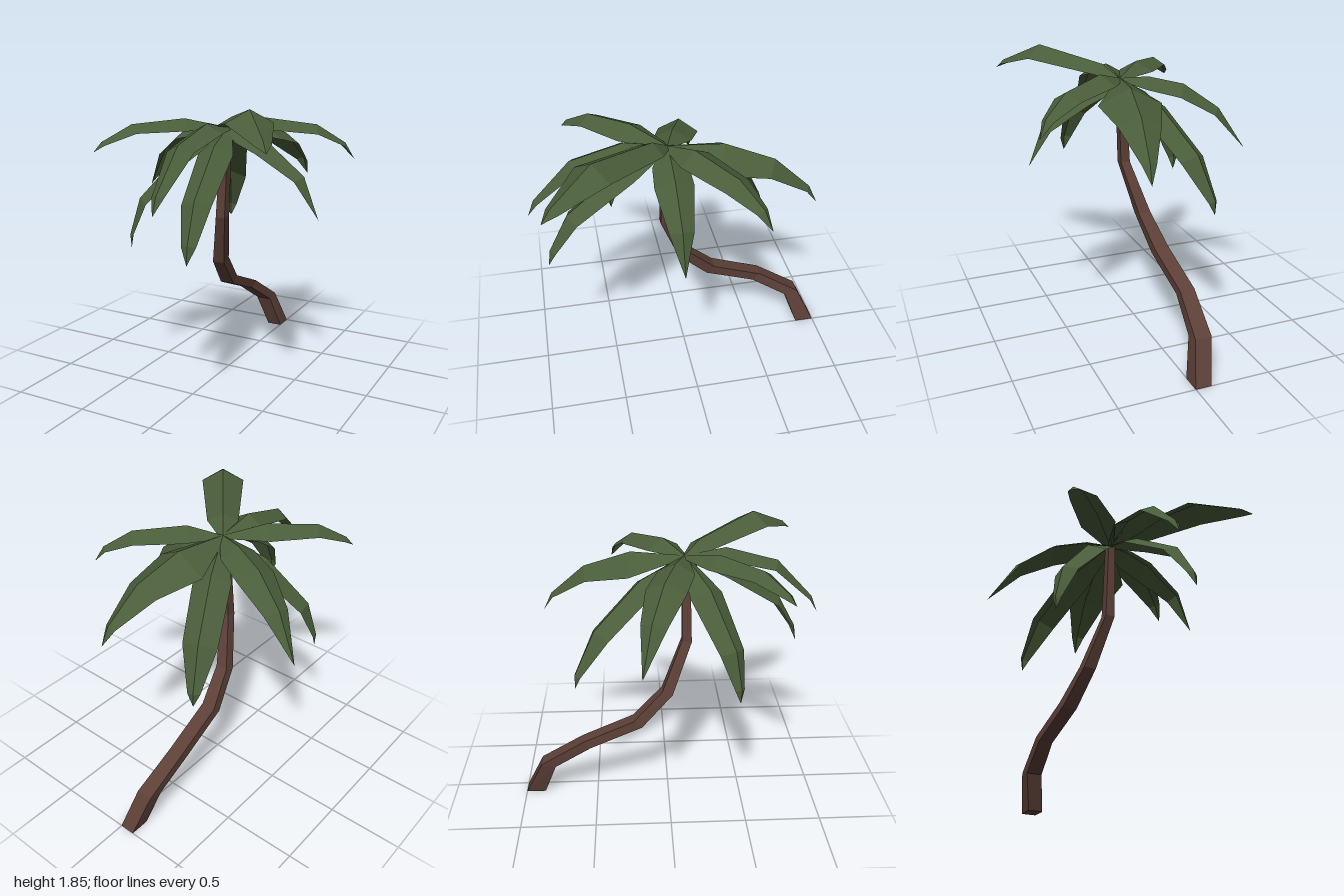
import * as THREE from 'three';

// Flat-shaded geometry from a list of triangle corners
function facets(points) {
  const geometry = new THREE.BufferGeometry().setFromPoints(points);
  geometry.computeVertexNormals();
  return geometry;
}

const HUB = new THREE.Vector3(0.05, 1.68, 0.11);

// A folded frond: a raised midrib with a drooping blade on each side.
// rib: [fraction of reach, height, half width] from near the hub to the tip
function frondGeometry(tipX, tipZ, rib) {
  const reach = new THREE.Vector3(tipX - HUB.x, 0, tipZ - HUB.z);
  const length = reach.length();
  const out = reach.clone().normalize();
  const side = new THREE.Vector3(0, 1, 0).cross(out);
  const stations = [[0, HUB.y, 0.025], ...rib].map(([f, y, w]) => ({ r: f * length, y, w }));
  const at = (r, y) => new THREE.Vector3(HUB.x, y, HUB.z).addScaledVector(out, r);

  const rows = stations.map((s, i) => {
    const p = stations[Math.max(i - 1, 0)];
    const q = stations[Math.min(i + 1, stations.length - 1)];
    const tangent = new THREE.Vector2(q.r - p.r, q.y - p.y).normalize();
    const drop = 0.55 * s.w;
    const low = at(s.r + tangent.y * drop, s.y - tangent.x * drop);
    return {
      w: s.w,
      mid: at(s.r, s.y),
      left: low.clone().addScaledVector(side, s.w),
      right: low.clone().addScaledVector(side, -s.w),
    };
  });

  const tris = [];
  for (let i = 0; i < rows.length - 1; i++) {
    const a = rows[i], b = rows[i + 1];
    tris.push(a.mid, b.mid, a.left, a.mid, a.right, b.mid);
    if (b.w > 0) tris.push(b.mid, b.left, a.left, b.mid, a.right, b.right);
  }
  return facets(tris);
}

// Square trunk lofted through rows of [x, half width, front z, front y, back z, back y]
function trunkGeometry(rows) {
  const rings = rows.map(([x, h, zf, yf, zb, yb]) => [
    new THREE.Vector3(x - h, yf, zf), new THREE.Vector3(x + h, yf, zf),
    new THREE.Vector3(x + h, yb, zb), new THREE.Vector3(x - h, yb, zb),
  ]);
  const tris = [];
  for (let i = 0; i < rings.length - 1; i++) {
    const a = rings[i], b = rings[i + 1];
    for (let j = 0; j < 4; j++) {
      const k = (j + 1) % 4;
      tris.push(a[j], a[k], b[k], a[j], b[k], b[j]);
    }
  }
  const [s, e] = [rings[0], rings[rings.length - 1]];
  tris.push(s[0], s[2], s[1], s[0], s[3], s[2]);
  tris.push(e[0], e[1], e[2], e[0], e[2], e[3]);
  return facets(tris);
}

export function createModel() {
  const bark = new THREE.MeshStandardMaterial({ color: 0x5d4037 });
  bark.name = 'bark brown';
  const leaf = new THREE.MeshStandardMaterial({ color: 0x4a5d3a, side: THREE.DoubleSide });
  leaf.name = 'leaf green';

  const model = new THREE.Group();
  model.name = 'palmTree';

  // Curving trunk, from the ground to the crown
  const trunk = new THREE.Mesh(trunkGeometry([
    [-0.05, 0.052, -0.87, 0, -1.0, 0],
    [-0.105, 0.055, -0.78, 0.24, -0.875, 0.26],
    [-0.13, 0.05, -0.53, 0.4, -0.585, 0.445],
    [-0.11, 0.05, -0.18, 0.54, -0.235, 0.587],
    [-0.065, 0.042, 0.03, 0.755, -0.04, 0.78],
    [0.02, 0.032, 0.16, 1.1, 0.095, 1.11],
    [0.045, 0.025, 0.145, 1.66, 0.09, 1.66],
  ]), bark);
  trunk.name = 'trunk';
  model.add(trunk);

  // Fronds: tip x, tip z, midrib stations
  const fronds = {
    backFrond: [0.22, -0.82,
      [[0.37, 1.69, 0.2], [0.7, 1.58, 0.13], [0.94, 1.38, 0.045], [1, 1.26, 0]]],
    backLeftFrond: [0.73, -0.37,
      [[0.27, 1.74, 0.12], [0.69, 1.69, 0.1], [0.92, 1.57, 0.045], [1, 1.46, 0]]],
    leftFrond: [0.68, 0.12,
      [[0.2, 1.66, 0.11], [0.46, 1.6, 0.12], [0.84, 1.41, 0.075], [1, 1.15, 0]]],
    frontLeftFrond: [0.69, 0.9,
      [[0.13, 1.76, 0.1], [0.62, 1.85, 0.14], [0.93, 1.72, 0.05], [1, 1.66, 0]]],
    lowFrontFrond: [0.21, 0.9,
      [[0.35, 1.6, 0.11], [0.82, 1.34, 0.09], [0.98, 1.11, 0.045], [1, 1.0, 0]]],
    frontFrond: [0.05, 0.99,
      [[0.3, 1.73, 0.105], [0.68, 1.64, 0.09], [0.95, 1.39, 0.04], [1, 1.28, 0]]],
    frontRightFrond: [-0.54, 0.72,
      [[0.33, 1.745, 0.12], [0.72, 1.72, 0.09], [0.94, 1.62, 0.04], [1, 1.56, 0]]],
    lowRightFrond: [-0.49, 0.43,
      [[0.45, 1.54, 0.12], [0.9, 1.23, 0.09], [1.01, 0.99, 0.035], [1, 0.9, 0]]],
    rightFrond: [-0.73, -0.18,
      [[0.22, 1.69, 0.12], [0.5, 1.64, 0.13], [0.78, 1.48, 0.085], [1, 1.2, 0]]],
    backRightFrond: [-0.3, -0.6,
      [[0.4, 1.57, 0.12], [0.82, 1.29, 0.11], [1, 1.02, 0.04], [1, 0.93, 0]]],
  };
  for (const [name, [x, z, rib]] of Object.entries(fronds)) {
    const frond = new THREE.Mesh(frondGeometry(x, z, rib), leaf);
    frond.name = name;
    model.add(frond);
  }
  return model;
}
